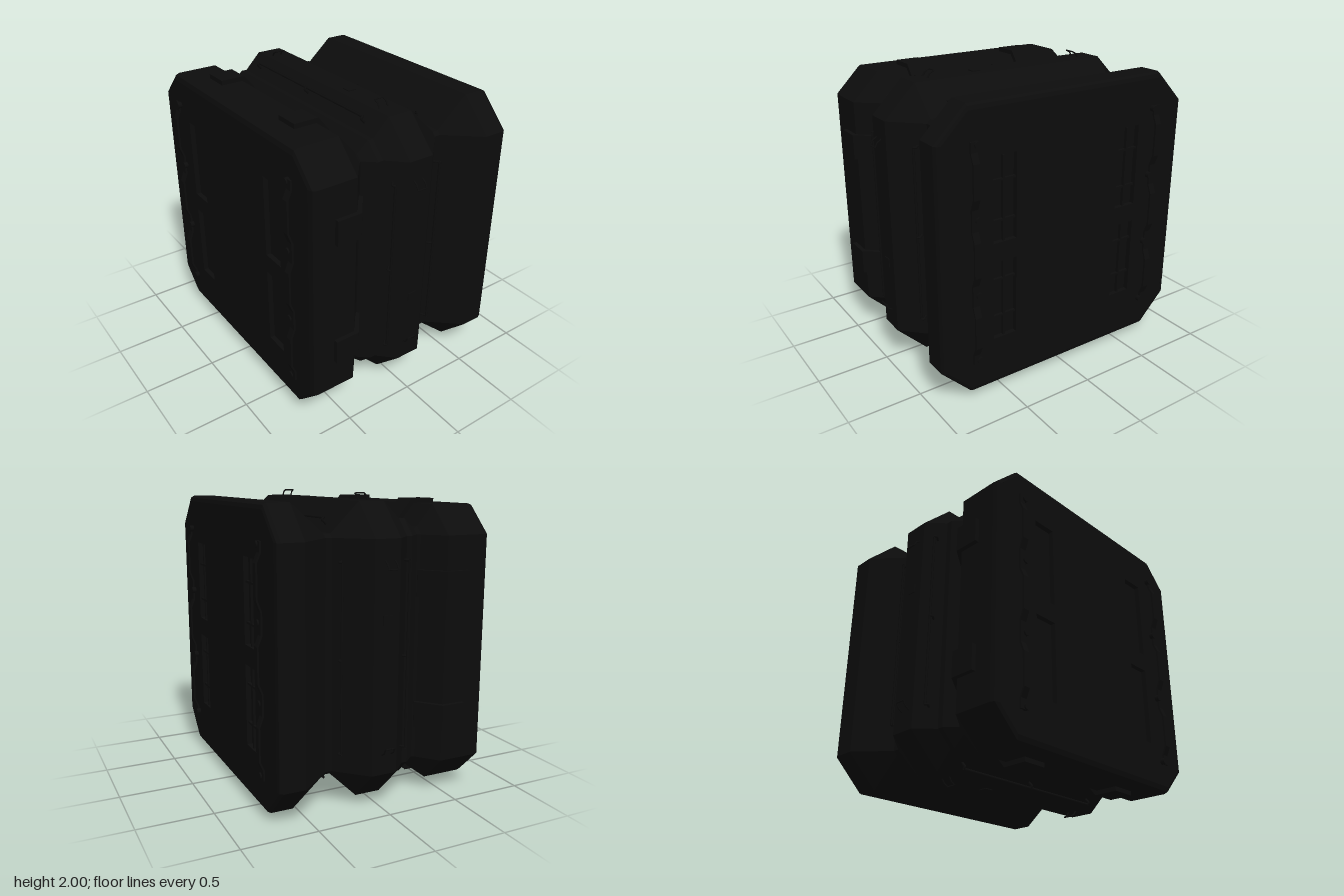
import * as THREE from 'three';

const black = new THREE.MeshStandardMaterial({ color: 0x0c0c0c, side: THREE.DoubleSide });
black.name = 'matte black';

const FLAT = 0.74; // half length of each flat side; the rest is corner chamfer

function octagon(r) {
  const f = r > 0.76 ? FLAT : r * 0.95;
  return [[r, -f], [r, f], [f, r], [-f, r], [-r, f], [-r, -f], [-f, -r], [f, -r]];
}

// Skin an octagonal section along z from [z, half size] pairs
function loft(profile) {
  const pos = [];
  const rings = profile.map(([z, r]) => octagon(r).map(([x, y]) => [x, y, z]));
  for (let i = 0; i < rings.length - 1; i++) {
    for (let j = 0; j < 8; j++) {
      const k = (j + 1) % 8;
      const a = rings[i][j], b = rings[i][k], c = rings[i + 1][k], d = rings[i + 1][j];
      pos.push(...a, ...b, ...c, ...a, ...c, ...d);
    }
  }
  const g = new THREE.BufferGeometry();
  g.setAttribute('position', new THREE.Float32BufferAttribute(pos, 3));
  g.computeVertexNormals();
  return g;
}

function add(parent, name, geometry, x = 0, y = 0, z = 0) {
  const m = new THREE.Mesh(geometry, black);
  m.name = name;
  m.position.set(x, y, z);
  parent.add(m);
  return m;
}

const box = (w, h, d) => new THREE.BoxGeometry(w, h, d);

// Round bar through straight segments
function bar(points, radius, steps = 24) {
  const path = new THREE.CurvePath();
  const v = points.map((p) => new THREE.Vector3(...p));
  for (let i = 0; i < v.length - 1; i++) path.add(new THREE.LineCurve3(v[i], v[i + 1]));
  return new THREE.TubeGeometry(path, steps, radius, 6, false);
}

// Bent strip: [z, y] profile with a thickness, extruded along x and centred
function strip(outer, inner, width) {
  const shape = new THREE.Shape([...outer, ...inner.slice().reverse()].map(([z, y]) => new THREE.Vector2(-z, y)));
  const g = new THREE.ExtrudeGeometry(shape, { depth: width, bevelEnabled: false });
  g.translate(0, 0, -width / 2);
  g.rotateY(Math.PI / 2);
  return g;
}

// End face with four recessed slots, facing +z
function endPlate(r) {
  const shape = new THREE.Shape(octagon(r).map(([x, y]) => new THREE.Vector2(x, y)));
  for (const sx of [-1, 1]) for (const [y0, y1] of [[-0.61, -0.07], [0.06, 0.62]]) {
    const x0 = sx * 0.49 - 0.085, x1 = x0 + 0.17;
    shape.holes.push(new THREE.Path([[x0, y0], [x0, y1], [x1, y1], [x1, y0]].map(([x, y]) => new THREE.Vector2(x, y))));
  }
  return new THREE.ExtrudeGeometry(shape, { depth: 0.034, bevelEnabled: false });
}

// Zigzag handrails standing on an end face
function endRails(parent) {
  const half = [[0.752, 0.735], [0.752, 0.67], [0.778, 0.61], [0.778, 0.39], [0.752, 0.32],
    [0.752, 0.18], [0.778, 0.115]];
  const line = [...half, ...half.slice().reverse().map(([z, y]) => [z, -y])];
  const inner = line.map(([z, y]) => [z - 0.012, y]);
  for (const s of [-1, 1]) {
    add(parent, 'endHandrail', strip(line, inner, 0.045), s * 0.713, 0, 0);
    for (const y of [-0.715, -0.25, 0.25, 0.715]) {
      const foot = add(parent, 'handrailFoot', new THREE.CylinderGeometry(0.022, 0.022, 0.03, 12), s * 0.69, y, 0.747);
      foot.rotation.x = Math.PI / 2;
    }
  }
}

export function createModel() {
  const model = new THREE.Group();
  model.name = 'module';
  const body = new THREE.Group();
  body.name = 'body';
  body.position.y = 1;
  model.add(body);

  // Hull: rear block, middle ridge and front block joined by narrow necks
  add(body, 'hull', loft([
    [-0.70, 0.01], [-0.70, 0.915], [-0.735, 0.915], [-0.728, 0.94], [-0.705, 0.953],
    [-0.56, 0.953], [-0.345, 0.765], [-0.30, 0.765], [-0.11, 0.953], [0.065, 0.953],
    [0.175, 0.842], [0.215, 0.842], [0.29, 0.775], [0.31, 0.79], [0.425, 0.925],
    [0.70, 0.925], [0.725, 0.915], [0.735, 0.885], [0.70, 0.885], [0.70, 0.01],
  ]));

  // End faces
  add(body, 'frontFace', endPlate(0.885), 0, 0, 0.70);
  const back = new THREE.Group();
  back.name = 'backEnd';
  back.rotation.y = Math.PI;
  body.add(back);
  add(back, 'backFace', endPlate(0.915), 0, 0, 0.70);
  for (const s of [-1, 1]) {
    add(back, 'slotDivider', box(0.014, 1.22, 0.02), s * 0.49, 0, 0.712);
    for (const y of [-0.46, -0.2, 0.2, 0.46]) add(back, 'slotRung', box(0.17, 0.014, 0.02), s * 0.49, y, 0.712);
  }
  endRails(body);
  endRails(back);

  // Fittings repeated on each of the four sides
  for (let k = 0; k < 4; k++) {
    const side = new THREE.Group();
    side.name = 'sideFittings';
    side.rotation.z = k * Math.PI / 2;
    body.add(side);

    for (const s of [-1, 1]) {
      // Folded cover plates over the front shoulder
      add(side, 'shoulderPlate', strip(
        [[0.578, 0.955], [0.41, 0.955], [0.285, 0.80]],
        [[0.578, 0.92], [0.43, 0.92], [0.30, 0.775]], 0.17), s * 0.435);

      // Small hoop handles on the ridge
      const z0 = -0.04, z1 = 0.026;
      add(side, 'hoopHandle', bar([
        [s * 0.61, 0.95, z0], [s * 0.59, 0.98, z0], [s * 0.56, 0.995, z0],
        [s * 0.56, 0.995, z1], [s * 0.59, 0.98, z1], [s * 0.61, 0.95, z1]], 0.005));
    }

    // Long handrails along both ridge slopes, with curved posts
    for (const [z, y, dz, dy] of [[0.145, 0.925, -0.02, -0.05], [-0.275, 0.85, 0.015, -0.04]]) {
      add(side, 'ridgeHandrail', bar([[-0.6, y, z], [0.6, y, z]], 0.008));
      for (const x of [-0.6, 0, 0.6]) {
        const out = Math.sign(z);
        const curve = new THREE.CatmullRomCurve3([
          new THREE.Vector3(x, y + 0.005, z), new THREE.Vector3(x, y - 0.012, z + out * 0.012),
          new THREE.Vector3(x, y + dy * 0.6, z + dz * 0.2), new THREE.Vector3(x, y + dy, z + dz)]);
        add(side, 'handrailPost', new THREE.TubeGeometry(curve, 10, 0.008, 6), 0, 0, 0);
      }
    }

    // Small locating tab on the ridge
    add(side, 'ridgeTab', box(0.06, 0.014, 0.06), 0.25, 0.952, -0.02);
  }
  return model;
}
